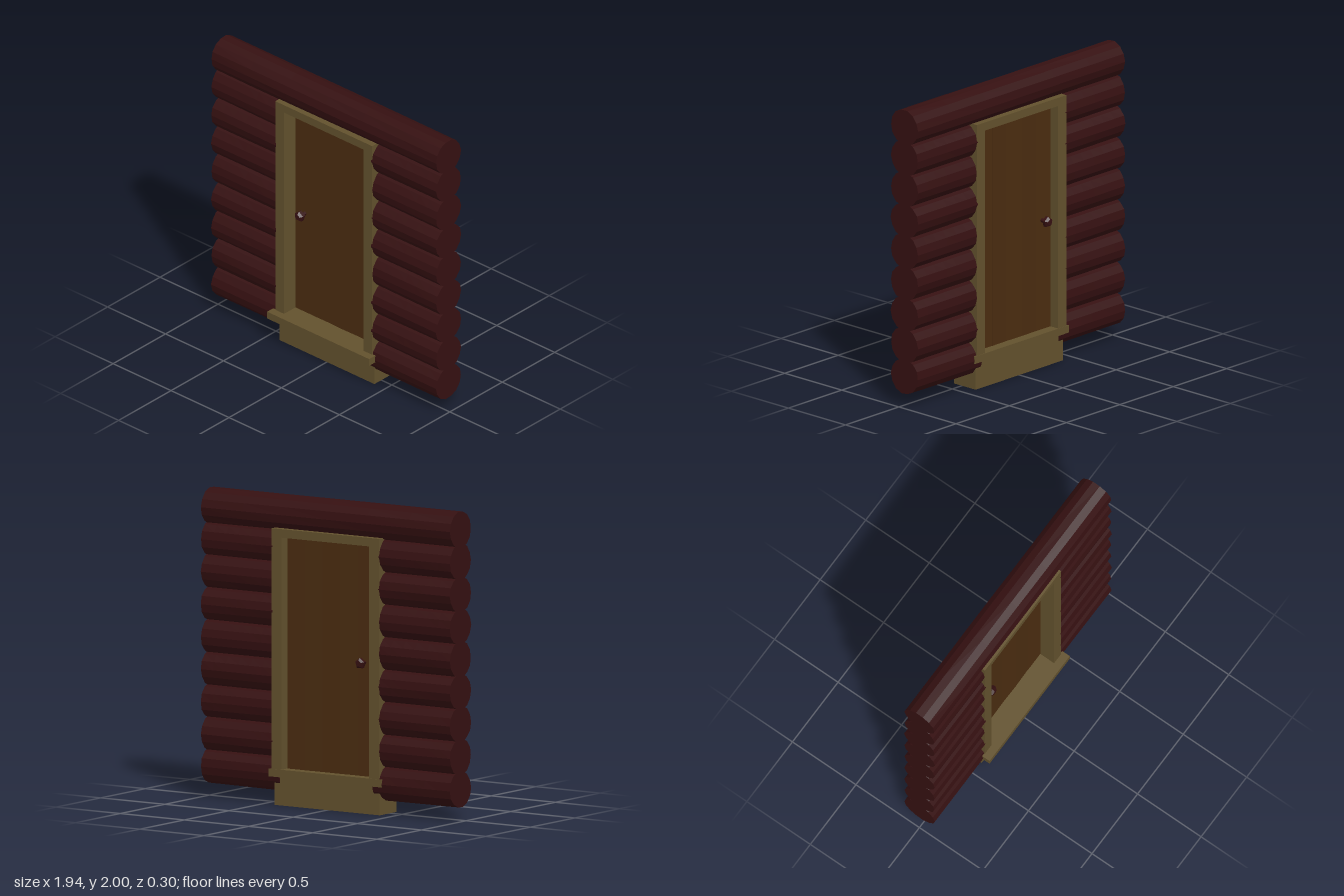
import * as THREE from 'three';

const mat = (name, color) => {
  const m = new THREE.MeshStandardMaterial({ color });
  m.name = name;
  return m;
};

export function createModel() {
  const group = new THREE.Group();
  group.name = 'logWallWithDoor';
  const logWood = mat('darkRedLog', 0x351011);
  const frameWood = mat('tanFrame', 0x62512d);
  const doorWood = mat('brownDoor', 0x4a2c10);

  const add = (parent, name, geo, material, x = 0, y = 0, z = 0) => {
    const mesh = new THREE.Mesh(geo, material);
    mesh.name = name;
    mesh.position.set(x, y, z);
    parent.add(mesh);
    return mesh;
  };

  // Box given by its extents
  const box = (parent, name, material, x0, x1, y0, y1, z0, z1) =>
    add(parent, name, new THREE.BoxGeometry(x1 - x0, y1 - y0, z1 - z0), material,
      (x0 + x1) / 2, (y0 + y1) / 2, (z0 + z1) / 2);

  // Faceted log along x, its radius wobbling gently around and along it
  const logGeometry = (length, seed) => {
    const geo = new THREE.CylinderGeometry(0.119, 0.119, length, 14, 6);
    geo.rotateZ(Math.PI / 2);
    const p = geo.attributes.position;
    for (let i = 0; i < p.count; i++) {
      const x = p.getX(i), y = p.getY(i), z = p.getZ(i);
      const a = Math.atan2(z, y);
      const s = 1 + 0.016 * Math.sin(2 * a + seed * 2.1 + x * 2.5)
        + 0.014 * Math.sin(5 * a + seed * 1.3 - x * 3);
      p.setY(i, y * s);
      p.setZ(i, z * s);
    }
    const flat = geo.toNonIndexed();
    flat.computeVertexNormals();
    return flat;
  };

  // Stacked logs on both sides of the doorway, one full log on top
  const wall = new THREE.Group();
  wall.name = 'logWall';
  group.add(wall);
  const outer = 0.97;
  for (let i = 0; i < 8; i++) {
    const inner = i === 0 ? 0.365 : 0.41;
    for (const side of [-1, 1]) {
      add(wall, side > 0 ? 'leftLog' : 'rightLog', logGeometry(outer - inner, i * 2 + side),
        logWood, side * (outer + inner) / 2, 0.203 + i * 0.21, -0.021);
    }
  }
  add(wall, 'topLog', logGeometry(outer * 2, 5), logWood, 0, 1.88, -0.021);

  // Door frame, sill and foundation block
  const frame = new THREE.Group();
  frame.name = 'doorFrame';
  group.add(frame);
  box(frame, 'rightJamb', frameWood, -0.418, -0.342, 0.23, 1.735, -0.14, 0.097);
  box(frame, 'leftJamb', frameWood, 0.342, 0.418, 0.23, 1.735, -0.14, 0.097);
  box(frame, 'lintel', frameWood, -0.418, 0.418, 1.735, 1.79, -0.14, 0.097);
  box(frame, 'sill', frameWood, -0.44, 0.44, 0.185, 0.235, -0.143, 0.15);
  box(frame, 'foundation', frameWood, -0.41, 0.41, 0, 0.187, -0.12, 0.067);

  // Recessed door of vertical planks, each turned very slightly
  const door = new THREE.Group();
  door.name = 'door';
  group.add(door);
  const planks = 5, w = 0.684 / planks;
  for (let i = 0; i < planks; i++) {
    const x = -0.342 + (i + 0.5) * w;
    const plank = box(door, 'doorPlank', doorWood, x - w / 2, x + w / 2, 0.235, 1.735, -0.073, -0.012);
    plank.rotation.y = 0.025 * Math.sin(i * 2.4);
  }

  // Five-sided knobs on both faces of the door
  for (const side of [-1, 1]) {
    const profile = [[0, -0.03], [0.014, -0.03], [0.014, 0.005], [0.036, 0.018], [0.036, 0.038], [0.022, 0.055], [0, 0.055]]
      .map(([r, y]) => new THREE.Vector2(r, y));
    const geo = new THREE.LatheGeometry(profile, 5).toNonIndexed();
    geo.computeVertexNormals();
    geo.rotateX(Math.PI / 2);
    geo.rotateZ(Math.PI);
    if (side < 0) geo.rotateY(Math.PI);
    add(door, side > 0 ? 'frontKnob' : 'backKnob', geo, logWood, -0.26, 0.97, -0.042 + side * 0.049);
  }

  return group;
}
